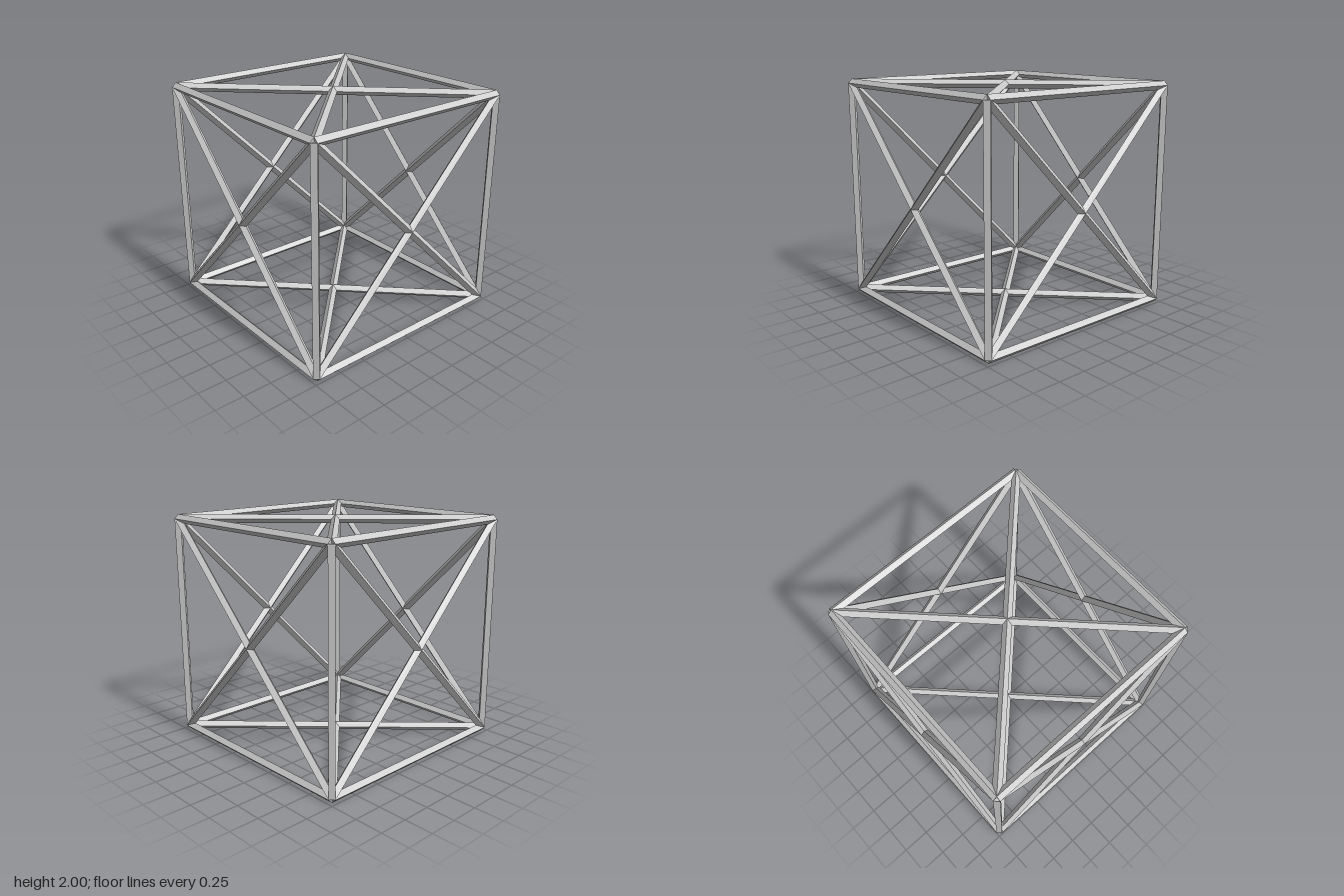
import * as THREE from 'three';

const R = 0.0375;      // half diagonal of the diamond-section bars
const C = 1 - R;       // corner distance from the centre

export function createModel() {
  const model = new THREE.Group();
  const material = new THREE.MeshStandardMaterial({ color: 0xcccccc, flatShading: true });
  const axes = [new THREE.Vector3(1, 0, 0), new THREE.Vector3(0, 1, 0), new THREE.Vector3(0, 0, 1)];

  // Four-sided bar from a to b with one ridge pointing along the normal
  function bar(name, a, b, normal) {
    const dir = b.clone().sub(a);
    const geometry = new THREE.CylinderGeometry(R, R, dir.length(), 4);
    dir.normalize();
    const side = new THREE.Vector3().crossVectors(dir, normal);
    const mesh = new THREE.Mesh(geometry, material);
    mesh.quaternion.setFromRotationMatrix(new THREE.Matrix4().makeBasis(side, dir, normal));
    mesh.position.copy(a).add(b).multiplyScalar(0.5);
    mesh.name = name;
    model.add(mesh);
  }

  // Point given by amounts along three axes
  const point = (i, u, v, w) => new THREE.Vector3()
    .addScaledVector(axes[i], u * C)
    .addScaledVector(axes[(i + 1) % 3], v * C)
    .addScaledVector(axes[(i + 2) % 3], w * C);

  for (let i = 0; i < 3; i++) {
    // Four parallel cube edges along this axis
    for (const v of [-1, 1]) for (const w of [-1, 1])
      bar('edgeBar', point(i, -1, v, w), point(i, 1, v, w), axes[(i + 1) % 3]);

    // Crossed braces on the two faces across this axis
    for (const u of [-1, 1]) for (const s of [-1, 1])
      bar('diagonalBrace', point(i, u, -1, -s), point(i, u, 1, s), axes[i]);
  }

  // Stand the frame on the floor
  model.children.forEach((mesh) => { mesh.position.y += 1; });
  model.name = 'bracedCubeFrame';
  return model;
}
